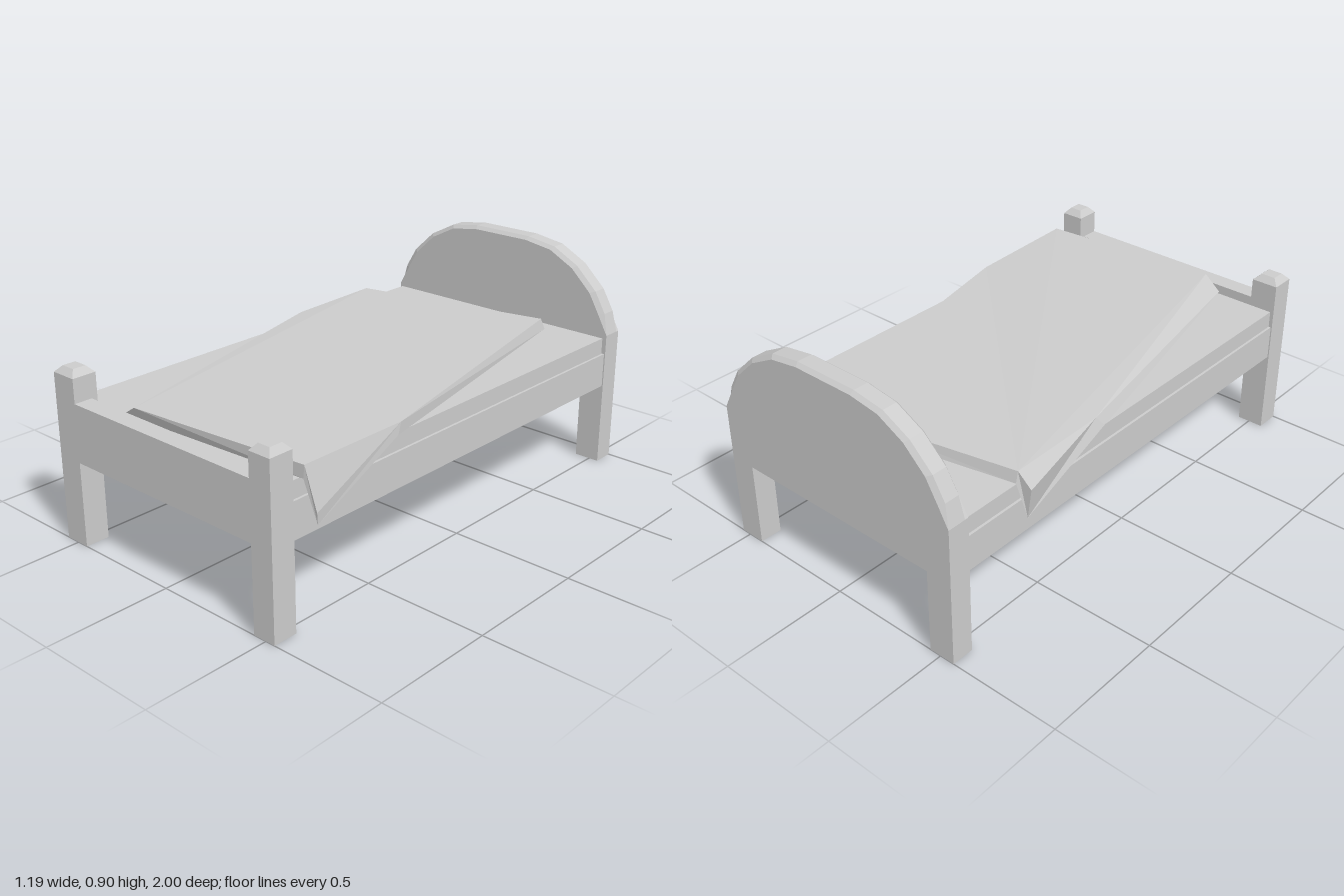
import * as THREE from 'three';

const material = new THREE.MeshStandardMaterial({ color: 0xcccccc, flatShading: true });
const clothMaterial = material.clone();
clothMaterial.side = THREE.DoubleSide;
const CX = -0.01; // centre line of the bed frame

function add(group, name, geometry, mat = material) {
  const mesh = new THREE.Mesh(geometry, mat);
  mesh.name = name;
  group.add(mesh);
  return mesh;
}

// Box given by its limits on each axis
function box(group, name, [x0, x1], [y0, y1], [z0, z1]) {
  const mesh = add(group, name, new THREE.BoxGeometry(x1 - x0, y1 - y0, z1 - z0));
  mesh.position.set((x0 + x1) / 2, (y0 + y1) / 2, (z0 + z1) / 2);
}

// Arched board and its two legs in one outline, with chamfered arch edges
function headboardGeometry() {
  const half = [[0.443, 0], [0.55, 0], [0.55, 0.56], [0.525, 0.645], [0.475, 0.73],
    [0.38, 0.82], [0.265, 0.88], [0.135, 0.9]];
  const right = half.map(([x, y]) => new THREE.Vector2(x, y));
  const left = half.map(([x, y]) => new THREE.Vector2(-x, y)).reverse();
  const outline = [new THREE.Vector2(0.443, 0.34), ...right, ...left, new THREE.Vector2(-0.443, 0.34)];
  const depth = 0.09;
  const geo = new THREE.ExtrudeGeometry(new THREE.Shape(outline), { depth, steps: 6, bevelEnabled: false });
  const p = geo.attributes.position;
  for (let i = 0; i < p.count; i++) {
    const z = p.getZ(i), y = p.getY(i);
    if (z > 0.001 && z < depth - 0.001) continue;
    const k = 1 - 0.04 * THREE.MathUtils.clamp((y - 0.56) / 0.08, 0, 1);
    p.setXY(i, p.getX(i) * k, y > 0.56 ? 0.56 + (y - 0.56) * k : y);
  }
  geo.computeVertexNormals();
  return geo.translate(CX, 0, -1);
}

// Skewed blanket: flat top, thin skirts and two hanging corner flaps
function blanketGeometry() {
  const P = {
    backLeft: [-0.545, 0.595, -0.655], backRight: [0.275, 0.595, -0.825],
    foldRight: [0.54, 0.592, 0.38], frontRight: [0.55, 0.6, 0.86],
    frontLeft: [-0.21, 0.6, 0.925], foldLeft: [-0.535, 0.59, -0.23],
    backRightLow: [0.285, 0.55, -0.84], backLeftLow: [-0.545, 0.55, -0.665],
    foldRightLow: [0.545, 0.55, 0.4], frontRightLow: [0.545, 0.55, 0.86],
    frontLeftLow: [-0.29, 0.55, 0.91], foldLeftLow: [-0.55, 0.55, -0.2],
    flapRight: [0.592, 0.44, 0.848], flapRightLow: [0.59, 0.395, 0.843],
    flapLeft: [-0.595, 0.535, -0.645], flapLeftLow: [-0.575, 0.41, -0.64],
  };
  const faces = [
    'backLeft foldLeft frontLeft frontRight foldRight backRight', // top
    'backRight backRightLow backLeftLow backLeft', // back skirt
    'foldRight foldRightLow backRightLow backRight', // right skirt
    'frontLeft frontLeftLow frontRightLow frontRight', // front skirt
    'foldLeft foldLeftLow frontLeftLow frontLeft', // left skirt
    'frontRight flapRight foldRight', // right flap
    'foldRight flapRight flapRightLow foldRightLow',
    'frontRight frontRightLow flapRightLow flapRight',
    'backLeft flapLeft foldLeft', // left flap
    'foldLeft flapLeft flapLeftLow foldLeftLow',
    'backLeft backLeftLow flapLeftLow flapLeft',
  ];
  const pos = [];
  for (const face of faces) {
    const c = face.split(' ').map((n) => P[n]);
    for (let i = 1; i < c.length - 1; i++) pos.push(...c[0], ...c[i], ...c[i + 1]);
  }
  const geo = new THREE.BufferGeometry();
  geo.setAttribute('position', new THREE.Float32BufferAttribute(pos, 3));
  geo.computeVertexNormals();
  return geo;
}

export function createModel() {
  const bed = new THREE.Group();
  bed.name = 'bed';

  add(bed, 'headboard', headboardGeometry());
  box(bed, 'bedBase', [-0.555, 0.535], [0.34, 0.48], [-0.92, 0.93]);
  box(bed, 'mattress', [-0.545, 0.525], [0.47, 0.547], [-0.905, 0.9]);
  box(bed, 'footboard', [-0.46, 0.45], [0.34, 0.57], [0.925, 1]);

  // Front posts with flattened pyramid caps
  for (const [side, x0, x1] of [['left', 0.445, 0.54], ['right', -0.56, -0.45]]) {
    const post = new THREE.Group();
    post.name = side + 'FrontPost';
    box(post, 'post', [x0, x1], [0, 0.665], [0.9, 1]);
    const cap = new THREE.CylinderGeometry(0.27 * Math.SQRT2, 0.5 * Math.SQRT2, 0.025, 4);
    cap.rotateY(Math.PI / 4).scale(x1 - x0, 1, 0.1);
    add(post, 'postCap', cap).position.set((x0 + x1) / 2, 0.6775, 0.95);
    bed.add(post);
  }

  add(bed, 'blanket', blanketGeometry(), clothMaterial);
  return bed;
}
